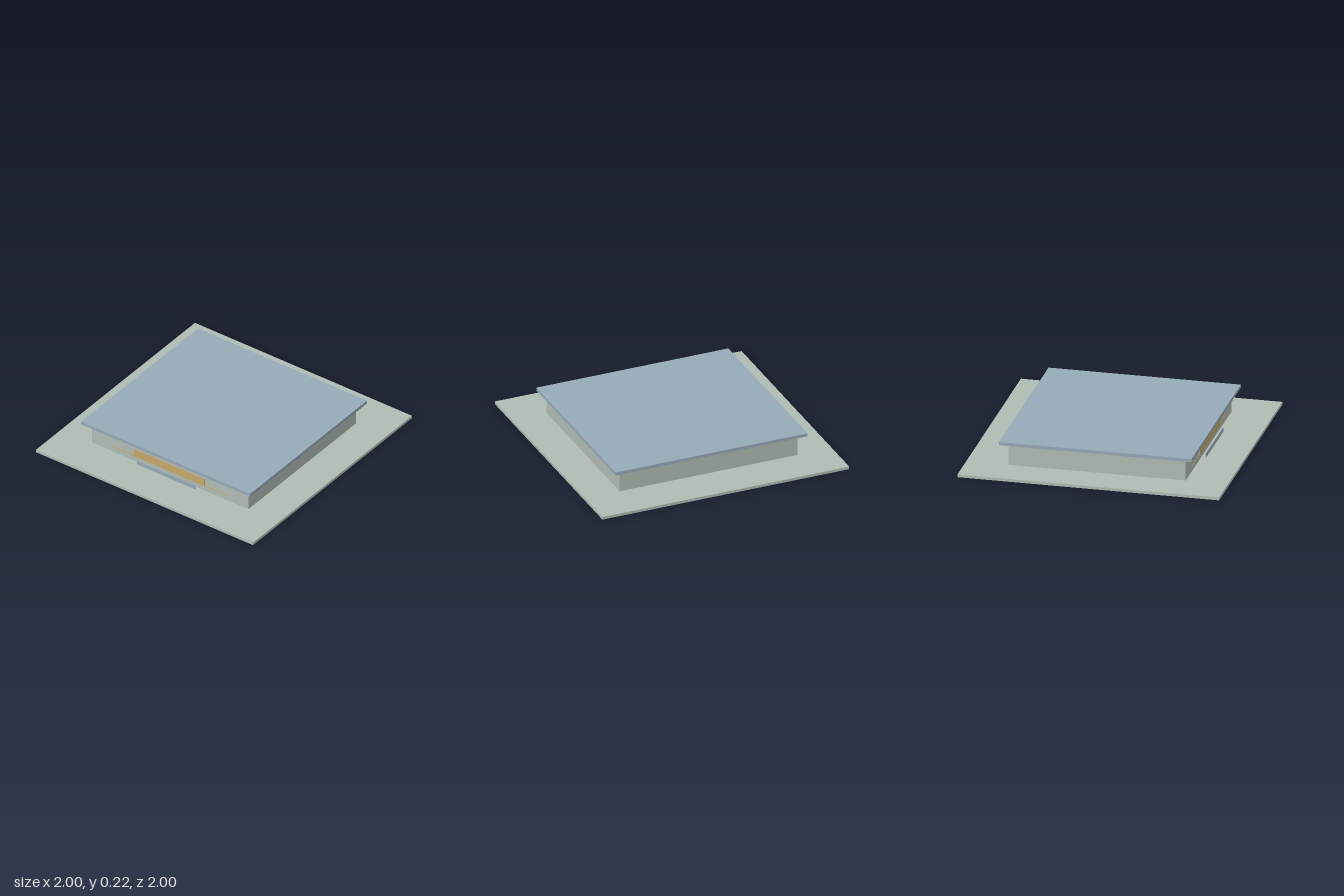
import * as THREE from 'three';

export function createModel() {
  const group = new THREE.Group();
  const stone = new THREE.MeshStandardMaterial({ name: 'pale stone', color: 0xb0bbb3 });
  const slate = new THREE.MeshStandardMaterial({ name: 'slate blue', color: 0x96aab8 });
  const amber = new THREE.MeshStandardMaterial({ name: 'amber', color: 0xc6a869 });

  // Box given by its bottom and top heights
  function block(name, material, width, bottom, top, depth, x = 0, z = 0) {
    const mesh = new THREE.Mesh(new THREE.BoxGeometry(width, top - bottom, depth), material);
    mesh.name = name;
    mesh.position.set(x, (bottom + top) / 2, z);
    group.add(mesh);
  }

  // Main building
  block('groundSlab', stone, 2, 0, 0.022, 2);
  block('walls', stone, 1.44, 0.022, 0.197, 1.354);
  block('flatRoof', slate, 1.556, 0.195, 0.22, 1.47);

  // Front panels, standing just off the wall
  block('signPanel', amber, 0.65, 0.07, 0.135, 0.003, 0, 0.687);
  block('signRail', amber, 1.07, 0.07, 0.077, 0.003, 0, 0.685);
  block('lowerPanel', slate, 0.542, 0.037, 0.07, 0.003, 0, 0.722);

  // Tiny studs under the eaves, one in the middle of each wall
  for (const side of [-1, 1]) {
    block('eaveStud', slate, 0.014, 0.178, 0.192, 0.006, 0, side * 0.679);
    block('eaveStud', slate, 0.006, 0.178, 0.192, 0.014, side * 0.722, 0);
  }
  return group;
}
